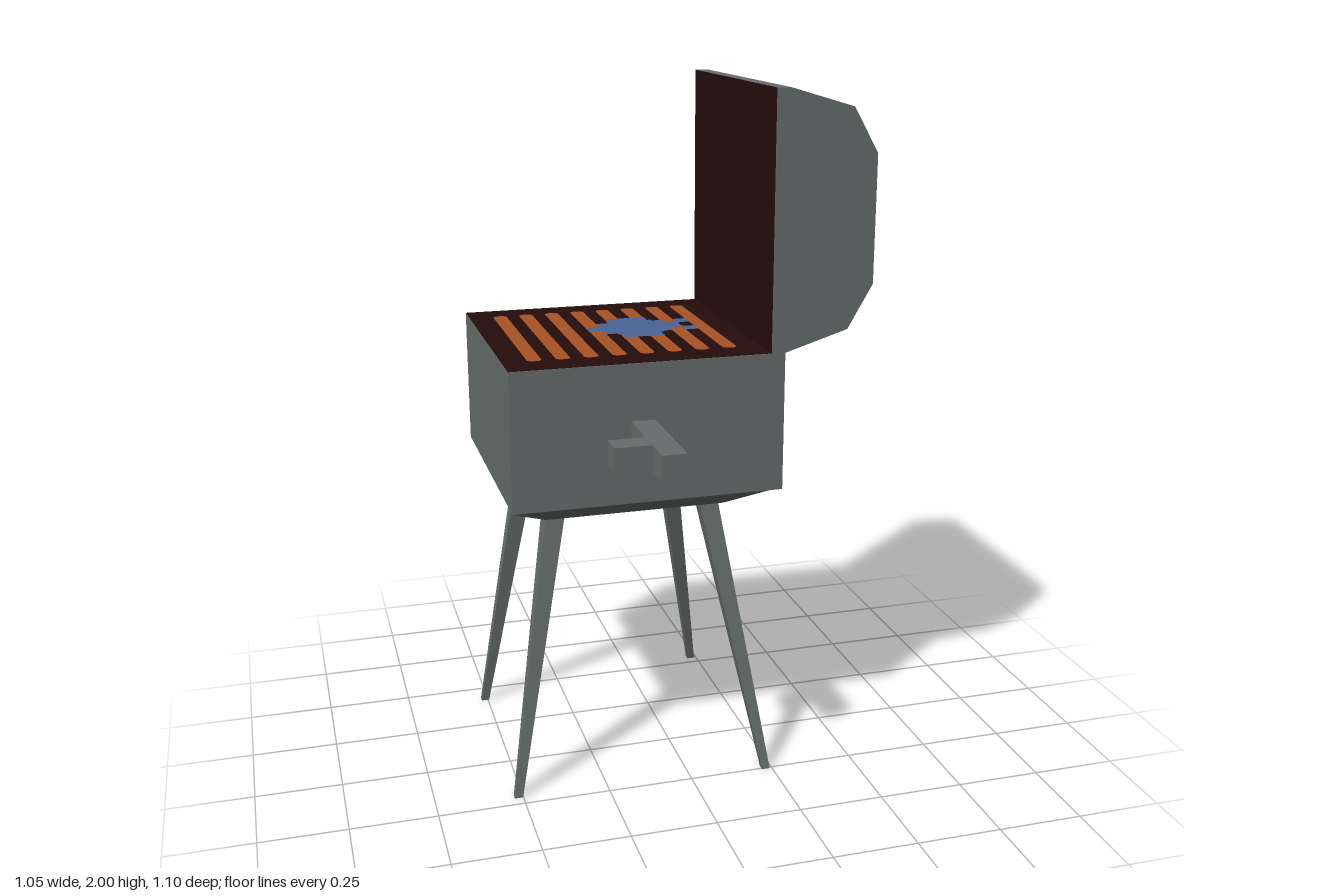
import * as THREE from 'three';

const mat = (name, color, flatShading = true) => {
  const m = new THREE.MeshStandardMaterial({ color, flatShading });
  m.name = name;
  return m;
};

export function createModel() {
  const metal = mat('grey metal', 0x666e6c);
  const soot = mat('soot black', 0x240d0c);
  const ember = mat('ember orange', 0xa85224);
  const blue = mat('fish blue', 0x4a6496);

  const group = new THREE.Group();
  const add = (name, geometry, material) => {
    const mesh = new THREE.Mesh(geometry, material);
    mesh.name = name;
    group.add(mesh);
    return mesh;
  };

  // Box given by its limits
  const block = (x0, x1, y0, y1, z0, z1) =>
    new THREE.BoxGeometry(x1 - x0, y1 - y0, z1 - z0)
      .translate((x0 + x1) / 2, (y0 + y1) / 2, (z0 + z1) / 2);

  // Tapered block between two rectangles [x, z, width, depth]
  const taper = (y0, bottom, y1, top) => {
    const g = new THREE.BoxGeometry(1, 1, 1).toNonIndexed();
    const p = g.attributes.position;
    for (let i = 0; i < p.count; i++) {
      const up = p.getY(i) > 0;
      const [x, z, w, d] = up ? top : bottom;
      p.setXYZ(i, x + p.getX(i) * w, up ? y1 : y0, z + p.getZ(i) * d);
    }
    g.computeVertexNormals();
    return g;
  };

  // Flat shape drawn in x and z, facing up at height y
  const flat = (points, y) => {
    const shape = new THREE.Shape(points.map(([x, z]) => new THREE.Vector2(x, -z)));
    return new THREE.ShapeGeometry(shape).rotateX(-Math.PI / 2).translate(0, y, 0);
  };

  const zBack = -0.506, zFront = 0.234, zMid = -0.136, depth = 0.74;

  // Fire box and sloping underside
  add('fireBox', block(-0.508, 0.27, 0.88, 1.28, zBack, zFront), metal);
  add('underside', taper(0.813, [-0.132, -0.139, 0.525, 0.52], 0.88, [-0.138, zMid, 0.74, depth]), metal);

  // Splayed legs: top centre, then foot centre
  [
    ['frontRightLeg', -0.368, 0.089, -0.513, 0.207],
    ['frontLeftLeg', 0.088, 0.089, 0.231, 0.246],
    ['backLeftLeg', 0.088, -0.348, 0.231, -0.54],
    ['backRightLeg', -0.368, -0.348, -0.508, -0.424],
  ].forEach(([name, tx, tz, fx, fz]) =>
    add(name, taper(0, [fx, fz, 0.024, 0.02], 0.815, [tx, tz, 0.056, 0.056]), metal));

  // Open lid standing on the left edge
  const lidShape = new THREE.Shape([
    [0.232, 1.28], [0.27, 1.28], [0.452, 1.336], [0.524, 1.46],
    [0.524, 1.82], [0.452, 1.946], [0.27, 2], [0.232, 2],
  ].map(([x, y]) => new THREE.Vector2(x, y)));
  add('lid', new THREE.ExtrudeGeometry(lidShape, { depth, bevelEnabled: false }).translate(0, 0, zBack), metal);
  add('lidLining', new THREE.PlaneGeometry(depth, 0.72).rotateY(-Math.PI / 2).translate(0.23, 1.64, zMid), soot);

  // Side handle on the front
  add('handleBar', block(-0.173, -0.105, 1.045, 1.118, zFront, 0.547), metal);
  add('handleGrip', block(-0.275, -0.173, 1.045, 1.118, 0.382, 0.455), metal);

  // Cooking surface with glowing slots
  add('cookingSurface', new THREE.PlaneGeometry(0.74, depth).rotateX(-Math.PI / 2).translate(-0.138, 1.281, zMid), soot);
  for (let i = 0; i < 8; i++) {
    const x = -0.418 + i * 0.0797, w = 0.0205, c = 0.01, a = -0.422, b = 0.146;
    add('slot' + (i + 1), flat([
      [x - w + c, a], [x + w - c, a], [x + w, a + c], [x + w, b - c],
      [x + w - c, b], [x - w + c, b], [x - w, b - c], [x - w, a + c],
    ], 1.283), ember);
  }

  // Fish: upper half of the outline from nose to tail, mirrored about its middle line
  const half = [
    [-0.2, 0.02], [-0.185, 0.02], [-0.185, 0.028], [-0.16, 0.028], [-0.16, 0.068], [-0.127, 0.068],
    [-0.127, 0.08], [-0.116, 0.08], [-0.116, 0.12], [0.001, 0.12], [0.001, 0.08], [0.012, 0.08],
    [0.012, 0.068], [0.04, 0.068], [0.04, 0.045], [0.058, 0.045], [0.058, 0.028], [0.078, 0.028],
    [0.078, 0.071], [0.118, 0.071], [0.118, 0.025], [0.088, 0.025], [0.08, 0.012],
  ];
  const midZ = -0.163;
  const outline = [
    ...half.map(([x, d]) => [x, midZ - d]),
    ...half.slice().reverse().map(([x, d]) => [x, midZ + d]),
  ];
  add('fish', flat(outline, 1.285), blue);

  return group;
}
